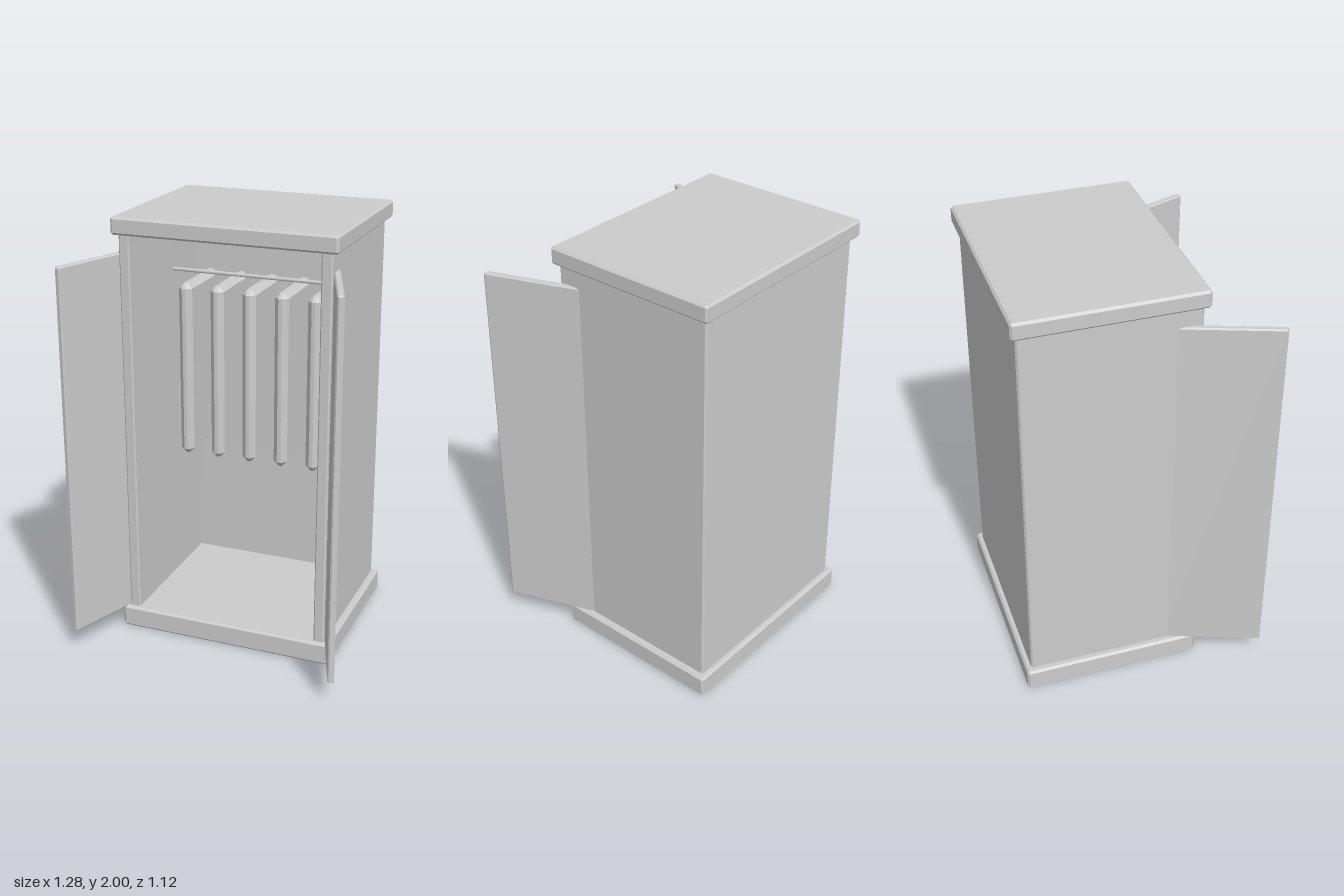
import * as THREE from 'three';
import { ConvexGeometry } from 'three/addons/geometries/ConvexGeometry.js';

const grey = new THREE.MeshStandardMaterial({ color: 0xcccccc });
grey.name = 'plain grey';

// Box with flat chamfers of size c on every edge
function chamferBox(w, h, d, c) {
  const half = [w / 2, h / 2, d / 2];
  const points = [];
  for (const sx of [-1, 1]) for (const sy of [-1, 1]) for (const sz of [-1, 1]) {
    const sign = [sx, sy, sz];
    for (let full = 0; full < 3; full++) {
      points.push(new THREE.Vector3(...half.map((v, i) => sign[i] * (i === full ? v : v - c))));
    }
  }
  return new ConvexGeometry(points);
}

// Chamfered box given by its limits on each axis
function block(name, [x0, x1], [y0, y1], [z0, z1], c) {
  const mesh = new THREE.Mesh(chamferBox(x1 - x0, y1 - y0, z1 - z0, c), grey);
  mesh.position.set((x0 + x1) / 2, (y0 + y1) / 2, (z0 + z1) / 2);
  mesh.name = name;
  return mesh;
}

export function createModel() {
  const wardrobe = new THREE.Group();
  wardrobe.name = 'wardrobe';

  // Overhanging base and top
  wardrobe.add(block('base', [-0.52, 0.52], [0, 0.105], [-0.56, 0.265], 0.01));
  wardrobe.add(block('top', [-0.52, 0.52], [1.92, 2], [-0.56, 0.265], 0.01));

  // Back panel
  wardrobe.add(block('backPanel', [-0.485, 0.485], [0.09, 1.935], [-0.535, -0.5], 0.005));

  for (const side of [1, -1]) {
    const label = side > 0 ? 'left' : 'right';

    // Side panel
    const xs = [0.44 * side, 0.49 * side].sort((a, b) => a - b);
    wardrobe.add(block(label + 'SidePanel', xs, [0.09, 1.935], [-0.533, 0.245], 0.006));

    // Open door, swung outward from the side panel
    const angle = THREE.MathUtils.degToRad(20);
    const length = 0.47;
    const door = new THREE.Mesh(chamferBox(0.03, 1.737, length, 0.006), grey);
    door.name = label + 'Door';
    door.position.set(
      side * (0.626 - Math.sin(angle) * length / 2),
      0.9665,
      0.555 - Math.cos(angle) * length / 2
    );
    door.rotation.y = side * angle;
    wardrobe.add(door);
  }

  // Hanging rail
  const rail = new THREE.Mesh(new THREE.CylinderGeometry(0.009, 0.009, 0.9, 8), grey);
  rail.name = 'hangingRail';
  rail.rotation.z = Math.PI / 2;
  rail.position.set(0, 1.667, -0.22);
  wardrobe.add(rail);

  // Row of hanging garments
  for (let i = -2; i <= 2; i++) {
    const x = i * 0.157;
    wardrobe.add(block('garment' + (i + 3), [x - 0.033, x + 0.033], [0.81, 1.645], [-0.395, -0.045], 0.024));
  }

  return wardrobe;
}
